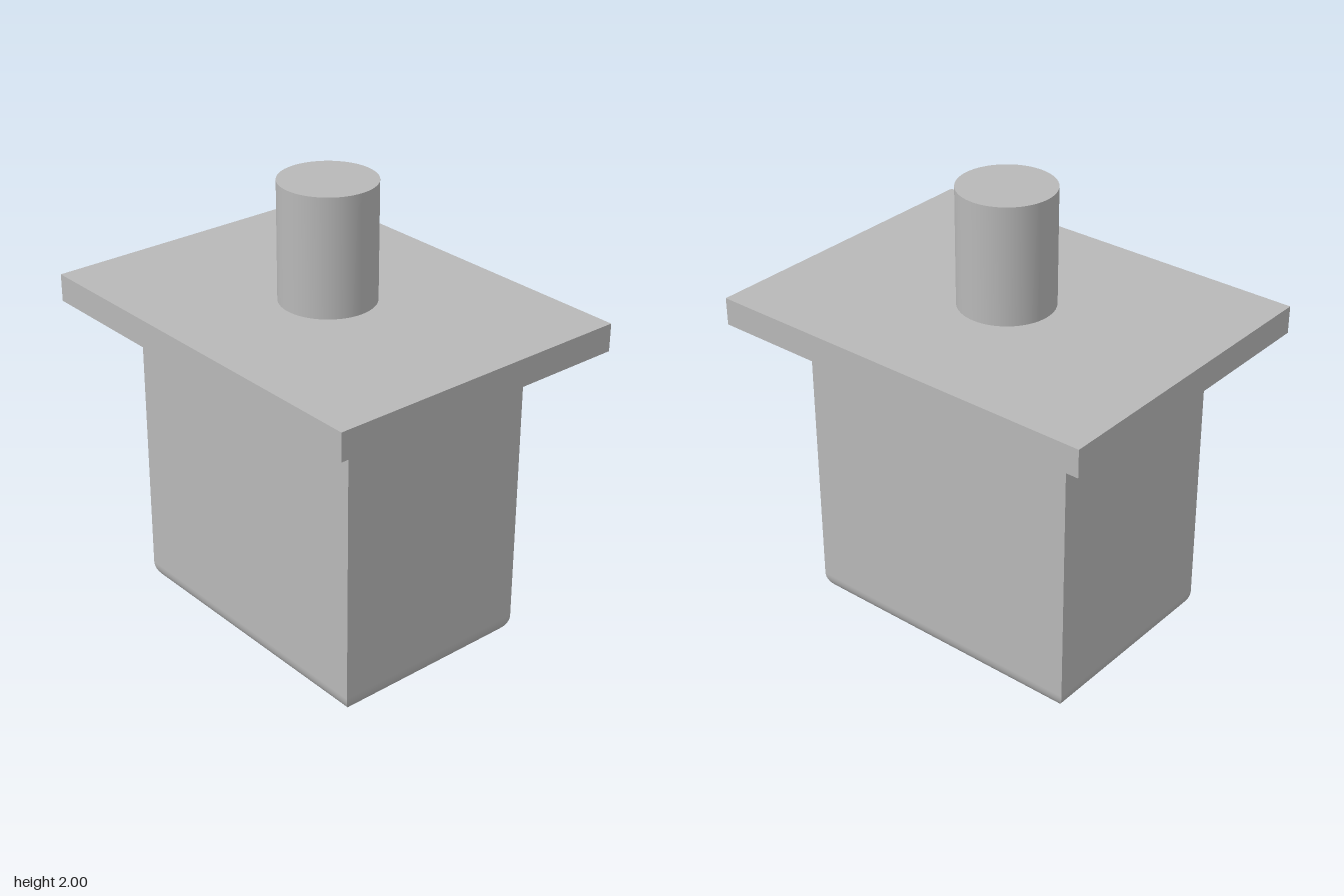
import * as THREE from 'three';
import { mergeGeometries } from 'three/addons/utils/BufferGeometryUtils.js';

const HX = 0.665, HZ = 0.46, BODY_TOP = 1.37, FLANGE_TOP = 1.49, R = 0.1, ARC_STEPS = 12;

// One wall of the body, with its lower edge rolled under and mitred at both ends
function wallGeometry(angle, halfOut, halfAlong) {
  const pos = [], nor = [], index = [];
  const addRow = (inset, y, a) => {
    for (const s of [-1, 1]) {
      pos.push(s * (halfAlong - inset), y, halfOut - inset);
      nor.push(0, -Math.sin(a), Math.cos(a));
    }
  };
  addRow(0, BODY_TOP, 0);
  for (let i = 0; i <= ARC_STEPS; i++) {
    const a = (i / ARC_STEPS) * Math.PI / 2;
    addRow(R * (1 - Math.cos(a)), R * (1 - Math.sin(a)), a);
  }
  for (let k = 0; k <= ARC_STEPS; k++) {
    const i = k * 2;
    index.push(i, i + 2, i + 1, i + 1, i + 2, i + 3);
  }
  const g = new THREE.BufferGeometry();
  g.setAttribute('position', new THREE.Float32BufferAttribute(pos, 3));
  g.setAttribute('normal', new THREE.Float32BufferAttribute(nor, 3));
  g.setIndex(index);
  return g.rotateY(angle);
}

function bodyGeometry() {
  const parts = [];
  for (let i = 0; i < 4; i++) {
    const endWall = i % 2 === 1;
    parts.push(wallGeometry(i * Math.PI / 2, endWall ? HX : HZ, endWall ? HZ : HX));
  }
  // Flat underside between the rolled edges
  const base = new THREE.PlaneGeometry(2 * (HX - R), 2 * (HZ - R)).rotateX(Math.PI / 2);
  base.deleteAttribute('uv');
  parts.push(base);
  return mergeGeometries(parts);
}

export function createModel() {
  const model = new THREE.Group();
  model.name = 'flangedBlock';
  const grey = new THREE.MeshStandardMaterial({ color: 0xb8b8b8 });
  grey.name = 'grey';

  const add = (name, geometry, y) => {
    const mesh = new THREE.Mesh(geometry, grey);
    mesh.name = name;
    mesh.position.y = y;
    model.add(mesh);
  };

  add('body', bodyGeometry(), 0);
  // Overhanging plate
  const thick = FLANGE_TOP - BODY_TOP;
  add('flange', new THREE.BoxGeometry(1.794, thick, 1.386), BODY_TOP + thick / 2);
  // Round post on top
  const postHeight = 2 - FLANGE_TOP;
  add('post', new THREE.CylinderGeometry(0.204, 0.204, postHeight, 64), FLANGE_TOP + postHeight / 2);

  return model;
}
